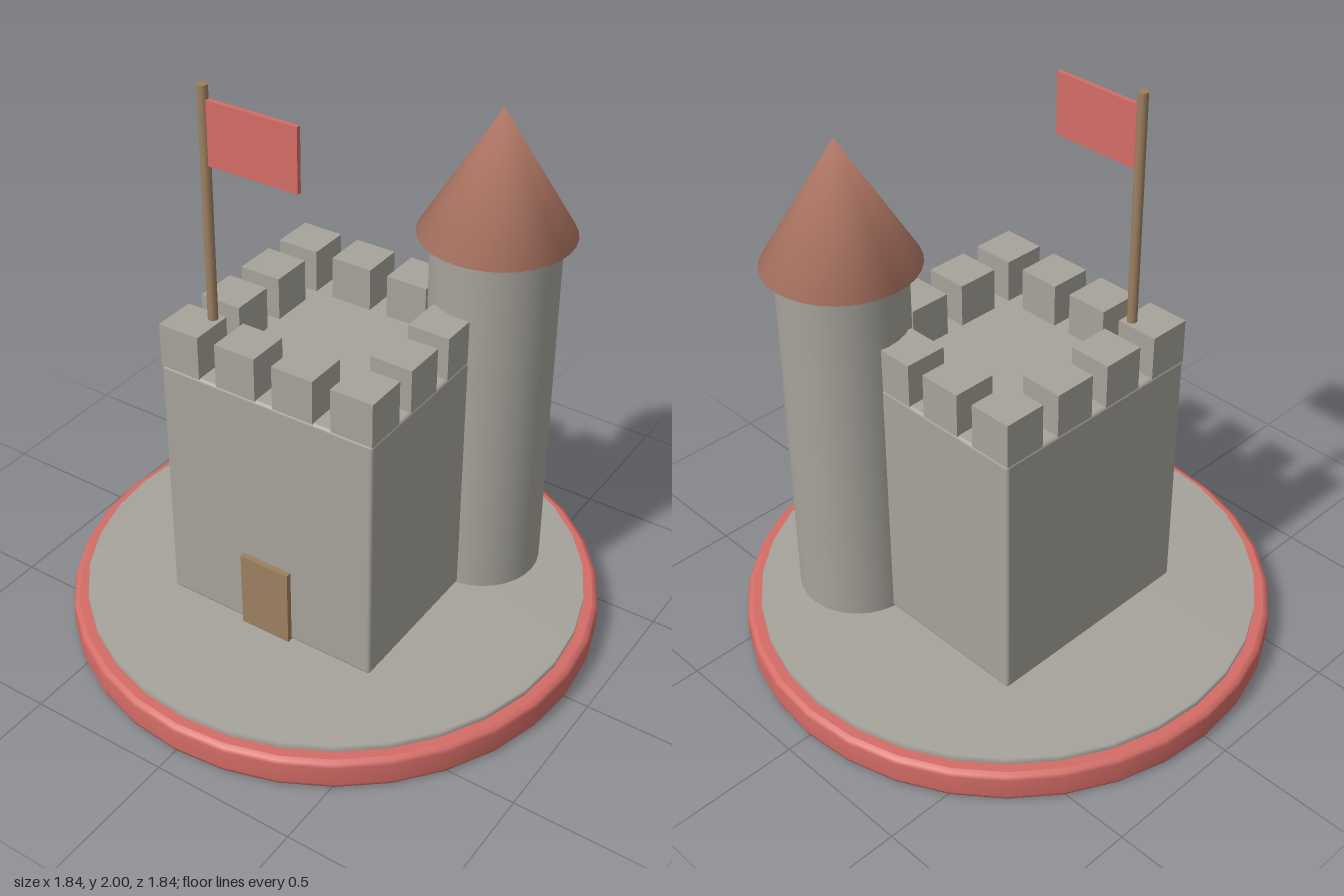
import * as THREE from 'three';
import { RoundedBoxGeometry } from 'three/addons/geometries/RoundedBoxGeometry.js';

const material = (name, color, side = THREE.FrontSide) => {
  const m = new THREE.MeshStandardMaterial({ color, side });
  m.name = name;
  return m;
};

export function createModel() {
  const stone = material('stone grey', 0xa6a39b);
  const red = material('banner red', 0xd46c66);
  const tile = material('roof brown', 0xb47a67);
  const wood = material('wood', 0x9c8060);

  const model = new THREE.Group();
  model.name = 'castle';

  const add = (name, geometry, mat, x = 0, y = 0, z = 0, parent = model) => {
    const mesh = new THREE.Mesh(geometry, mat);
    mesh.name = name;
    mesh.position.set(x, y, z);
    parent.add(mesh);
    return mesh;
  };
  const lathe = (points, segments) =>
    new THREE.LatheGeometry(points.map(([r, y]) => new THREE.Vector2(r, y)), segments);

  // Round plinth with softened rims; doubled points keep the caps flat
  add('plinth', lathe([
    [0, 0], [0.9, 0], [0.901, 0], [0.915, 0.006], [0.92, 0.02],
    [0.92, 0.09], [0.915, 0.104], [0.901, 0.11], [0.9, 0.11], [0, 0.11],
  ], 32), red);

  // Thin stone ground disc, smooth over its edge
  add('ground', lathe([[0.868, 0.11], [0.868, 0.135], [0, 0.135]], 32), stone);

  // Square keep
  add('keep', new RoundedBoxGeometry(0.8, 0.915, 0.8, 2, 0.012), stone, 0, 0.5925, 0);

  // Battlements around the keep's edge
  const battlements = new THREE.Group();
  battlements.name = 'battlements';
  model.add(battlements);
  const merlon = new THREE.BoxGeometry(0.15, 0.155, 0.15);
  for (let i = 0; i < 4; i++) {
    for (let j = 0; j < 4; j++) {
      if (i % 3 && j % 3) continue;
      add('merlon', merlon, stone, -0.324 + i * 0.216, 1.1245, -0.324 + j * 0.216, battlements);
    }
  }

  // Door on the front wall
  add('door', new THREE.BoxGeometry(0.187, 0.283, 0.04), wood, -0.002, 0.2785, 0.4);

  // Round corner tower
  const tx = 0.367, tz = -0.367;
  add('tower', new THREE.CylinderGeometry(0.213, 0.213, 1.285, 32), stone, tx, 0.7775, tz);

  // Conical roof, shaded smoothly over its tip and eaves
  const roof = lathe([[0, 0], [0.258, 0], [0, 0.43]], 32);
  const pos = roof.attributes.position;
  for (let i = 0; i < pos.count; i++) {
    if (pos.getY(i) > 0.4) roof.attributes.normal.setXYZ(i, 0, 1, 0);
  }
  add('towerRoof', roof, tile, tx, 1.418, tz);

  // Flagpole and flag
  add('flagpole', new THREE.CylinderGeometry(0.017, 0.017, 0.95, 12), wood, -0.28, 1.525, 0.277);
  add('flag', new THREE.BoxGeometry(0.335, 0.213, 0.016), red, -0.108, 1.848, 0.277);

  return model;
}
